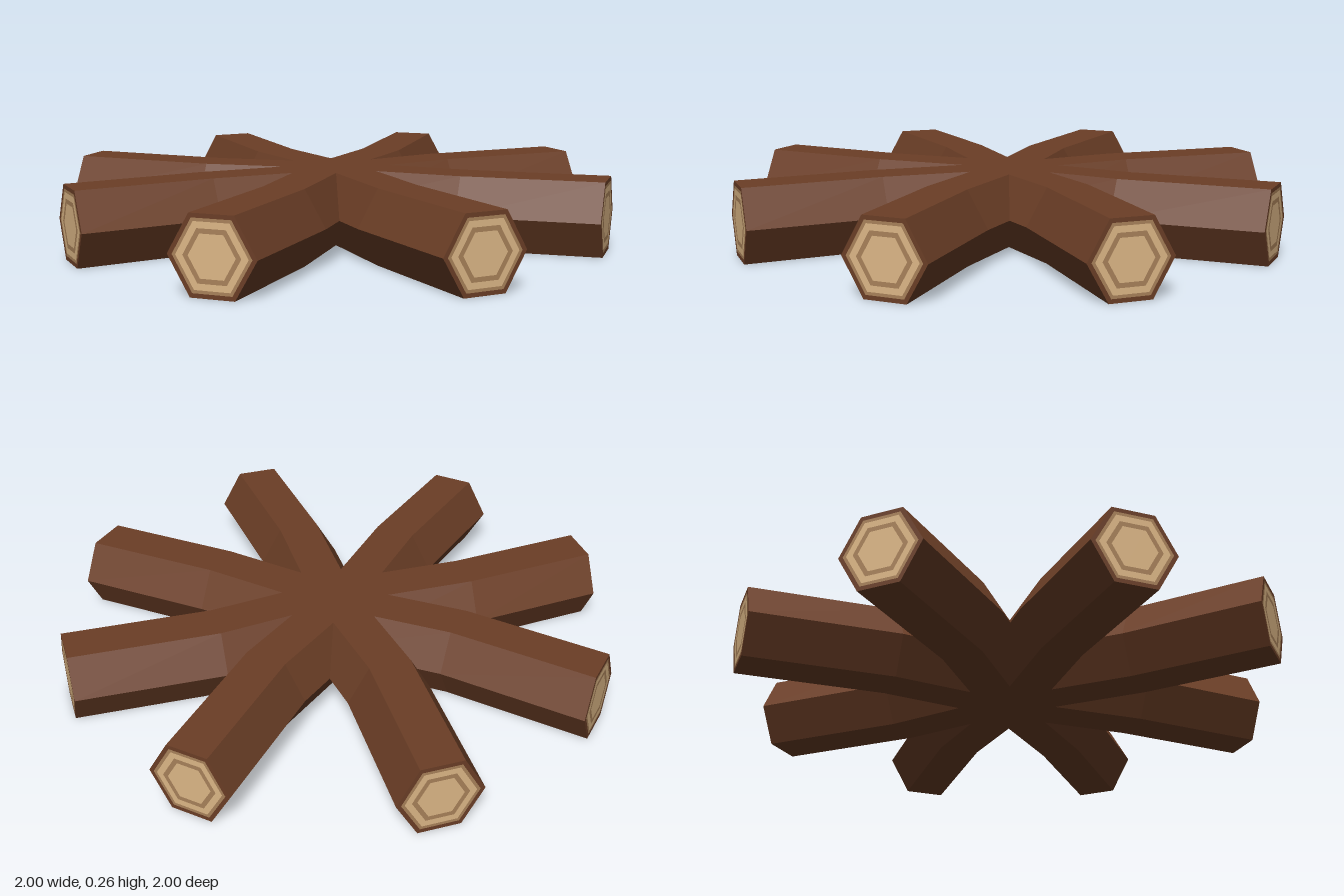
import * as THREE from 'three';

const RADIUS = 0.15;      // half width of the hexagonal log
const RADIUS_Y = 0.1525;  // vertical radius, so flat faces sit at y = 0 and y = 0.264
const CENTRE_Y = RADIUS_Y * Math.sin(Math.PI / 3);

// Centre line of a bent log: distance along it, sideways drift
const PATH = [[-1, 0.016], [-0.465, 0.037], [0, -0.016], [0.5, 0], [1, -0.036]];

// Bark: hexagonal cross-sections joined along the path
function barkGeometry(bend) {
  const point = (k, i) => {
    const a = (i % 6) * Math.PI / 3;
    return [PATH[k][0], CENTRE_Y + RADIUS_Y * Math.sin(a), bend * PATH[k][1] + RADIUS * Math.cos(a)];
  };
  const positions = [];
  for (let k = 0; k < PATH.length - 1; k++) {
    for (let i = 0; i < 6; i++) {
      const a = point(k, i), b = point(k + 1, i), c = point(k + 1, i + 1), d = point(k, i + 1);
      positions.push(...a, ...b, ...c, ...a, ...c, ...d);
    }
  }
  const geometry = new THREE.BufferGeometry();
  geometry.setAttribute('position', new THREE.Float32BufferAttribute(positions, 3));
  geometry.computeVertexNormals();
  return geometry;
}

export function createModel() {
  const material = (name, color) => {
    const m = new THREE.MeshStandardMaterial({ color, flatShading: true });
    m.name = name;
    return m;
  };
  const bark = material('bark', 0x6b3e26);
  const paleWood = material('paleWood', 0xdeb887);
  const ringWood = material('ringWood', 0xa9825a);

  // Sawn end: concentric hexagonal growth rings, outermost first
  const RINGS = [
    ['barkEdge', 1, 0.89, bark],
    ['outerRing', 0.89, 0.81, ringWood],
    ['outerWood', 0.81, 0.65, paleWood],
    ['innerRing', 0.65, 0.53, ringWood],
    ['heartwood', 0.53, 0, paleWood],
  ];
  function sawnEnd() {
    const end = new THREE.Group();
    end.name = 'sawnEnd';
    for (const [name, outer, inner, mat] of RINGS) {
      const geometry = inner > 0 ? new THREE.RingGeometry(inner, outer, 6) : new THREE.CircleGeometry(outer, 6);
      geometry.scale(RADIUS, RADIUS_Y, 1);
      const mesh = new THREE.Mesh(geometry, mat);
      mesh.name = name;
      end.add(mesh);
    }
    return end;
  }

  function makeLog(name, degrees, bend) {
    const log = new THREE.Group();
    log.name = name;
    const body = new THREE.Mesh(barkGeometry(bend), bark);
    body.name = 'barkBody';
    log.add(body);
    for (const [x, drift] of [PATH[0], PATH[PATH.length - 1]]) {
      const end = sawnEnd();
      end.position.set(x, CENTRE_Y, bend * drift);
      end.rotation.y = x * Math.PI / 2;
      log.add(end);
    }
    log.rotation.y = THREE.MathUtils.degToRad(degrees);
    return log;
  }

  // Four logs crossing in a star
  const model = new THREE.Group();
  model.name = 'crossedLogs';
  model.add(
    makeLog('sidewaysLog', 0, 1),
    makeLog('diagonalLogA', -45, 1),
    makeLog('lengthwiseLog', -90, -1),
    makeLog('diagonalLogB', -135, 1),
  );
  return model;
}
